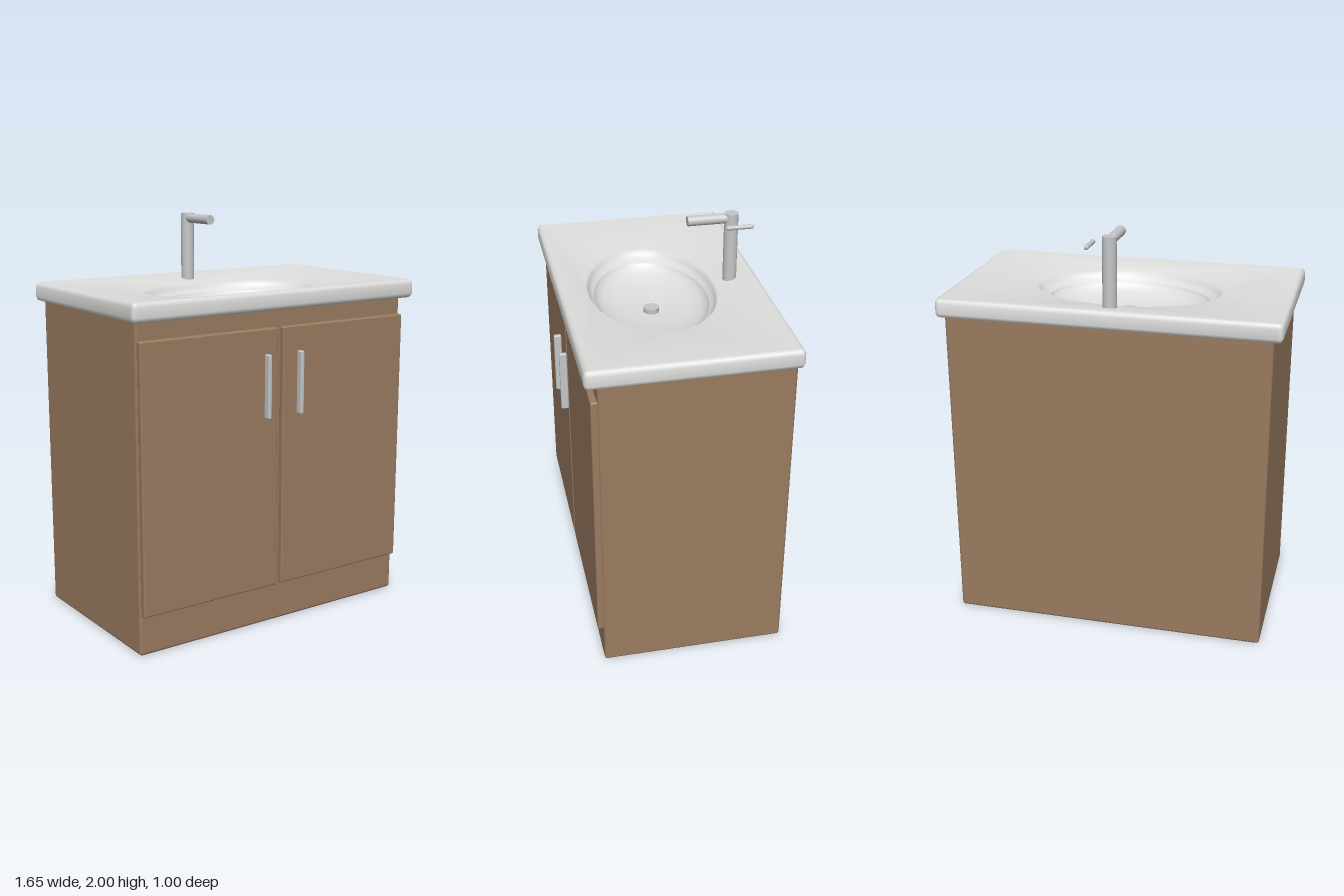
import * as THREE from 'three';
import { mergeVertices } from 'three/addons/utils/BufferGeometryUtils.js';
import { RoundedBoxGeometry } from 'three/addons/geometries/RoundedBoxGeometry.js';

const material = (name, color, side = THREE.FrontSide) => {
  const m = new THREE.MeshStandardMaterial({ color, side });
  m.name = name;
  return m;
};

// Rectangle with rounded corners, used for the cabinet walls
function roundedRect(Type, x, z0, z1, r) {
  const p = new Type();
  p.absarc(x - r, z1 - r, r, 0, Math.PI / 2);
  p.absarc(-x + r, z1 - r, r, Math.PI / 2, Math.PI);
  p.absarc(-x + r, z0 + r, r, Math.PI, Math.PI * 1.5);
  p.absarc(x - r, z0 + r, r, Math.PI * 1.5, Math.PI * 2);
  p.closePath();
  return p;
}

// Countertop and bowl: loops run from the underside, over the edge, into the bowl
function basinGeometry() {
  const K = 16, R = 0.024, HX = 0.827, HZ = 0.493, CZ = -0.007, BZ = 0.026;
  const slab = [ // inset, height
    [0.1, 1.585], [0.024, 1.585], [0.007, 1.592], [0, 1.609],
    [0, 1.656], [0.007, 1.673], [0.024, 1.68],
  ];
  const bowl = [ // half width, half depth, height
    [0.47, 0.313, 1.645], [0.455, 0.303, 1.622], [0.435, 0.292, 1.605],
    [0.405, 0.278, 1.595], [0.398, 0.272, 1.59], [0.392, 0.268, 1.575],
    [0.35, 0.24, 1.553], [0.28, 0.19, 1.535], [0.18, 0.125, 1.522],
    [0.08, 0.055, 1.516], [0, 0, 1.515],
  ];
  const pos = [], index = [], n = 4 * (K + 1);
  const around = (fn) => {
    for (let q = 0; q < 4; q++) {
      for (let k = 0; k <= K; k++) {
        const t = (q + k / K) * Math.PI / 2;
        const sx = q === 0 || q === 3 ? 1 : -1, sz = q < 2 ? 1 : -1;
        pos.push(...fn(Math.cos(t), Math.sin(t), sx, sz));
      }
    }
  };
  for (const [inset, y] of slab) {
    const r = Math.max(R - inset, 0), e = Math.max(R, inset);
    around((c, s, sx, sz) => [sx * (HX - e) + r * c, y, CZ + sz * (HZ - e) + r * s]);
  }
  for (const [a, b, y] of bowl) around((c, s) => [a * c, y, BZ + b * s]);
  for (let j = 0; j < slab.length + bowl.length - 1; j++) {
    for (let i = 0; i < n; i++) {
      const a = j * n + i, b = j * n + (i + 1) % n;
      index.push(a, a + n, b, b, a + n, b + n);
    }
  }
  let g = new THREE.BufferGeometry();
  g.setAttribute('position', new THREE.Float32BufferAttribute(pos, 3));
  g.setIndex(index);
  g = mergeVertices(g, 1e-5);
  g.computeVertexNormals();
  return g;
}

export function createModel() {
  const group = new THREE.Group();
  group.name = 'washbasinCabinet';
  const wood = material('brown wood', 0x9a7b60);
  const ceramic = material('white ceramic', 0xdededc, THREE.DoubleSide);
  const metal = material('grey metal', 0xc4c6c8);

  const add = (name, geometry, mat, x = 0, y = 0, z = 0) => {
    const mesh = new THREE.Mesh(geometry, mat);
    mesh.name = name;
    mesh.position.set(x, y, z);
    group.add(mesh);
    return mesh;
  };

  // Hollow cabinet: four walls with the top open beneath the bowl, and a floor
  const walls = roundedRect(THREE.Shape, 0.785, -0.425, 0.48, 0.015);
  walls.holes.push(roundedRect(THREE.Path, 0.755, -0.395, 0.45, 0.005));
  const wallGeometry = new THREE.ExtrudeGeometry(walls, { depth: 1.565, bevelEnabled: false, curveSegments: 5 });
  wallGeometry.rotateX(-Math.PI / 2);
  add('cabinetWalls', wallGeometry, wood, 0, 0.02, 0);
  add('cabinetFloor', new RoundedBoxGeometry(1.57, 0.04, 0.905, 3, 0.015), wood, 0, 0.02, -0.0275);

  // Doors and their upright handles
  for (const [side, s] of [['left', 1], ['right', -1]]) {
    add(side + 'Door', new RoundedBoxGeometry(0.763, 1.3, 0.036, 3, 0.008), wood, s * 0.397, 0.85, 0.437);
    add(side + 'Handle', new RoundedBoxGeometry(0.021, 0.312, 0.038, 3, 0.007), metal, s * 0.097, 1.226, 0.486);
  }

  // Basin and drain plug
  add('basin', basinGeometry(), ceramic);
  add('drainPlug', new THREE.CylinderGeometry(0.038, 0.038, 0.03, 32), metal, 0, 1.525, 0.026);

  // Tap: column, spout and lever
  add('tapColumn', new THREE.CylinderGeometry(0.034, 0.034, 0.36, 32), metal, 0, 1.82, -0.367);
  const spout = add('tapSpout', new THREE.CylinderGeometry(0.0245, 0.0245, 0.217, 32), metal, 0, 1.975, -0.2585);
  spout.rotation.x = Math.PI / 2;
  const lever = add('tapLever', new THREE.CapsuleGeometry(0.011, 0.115, 6, 16), metal, 0.088, 1.96, -0.386);
  lever.rotation.x = Math.PI / 2;

  return group;
}
